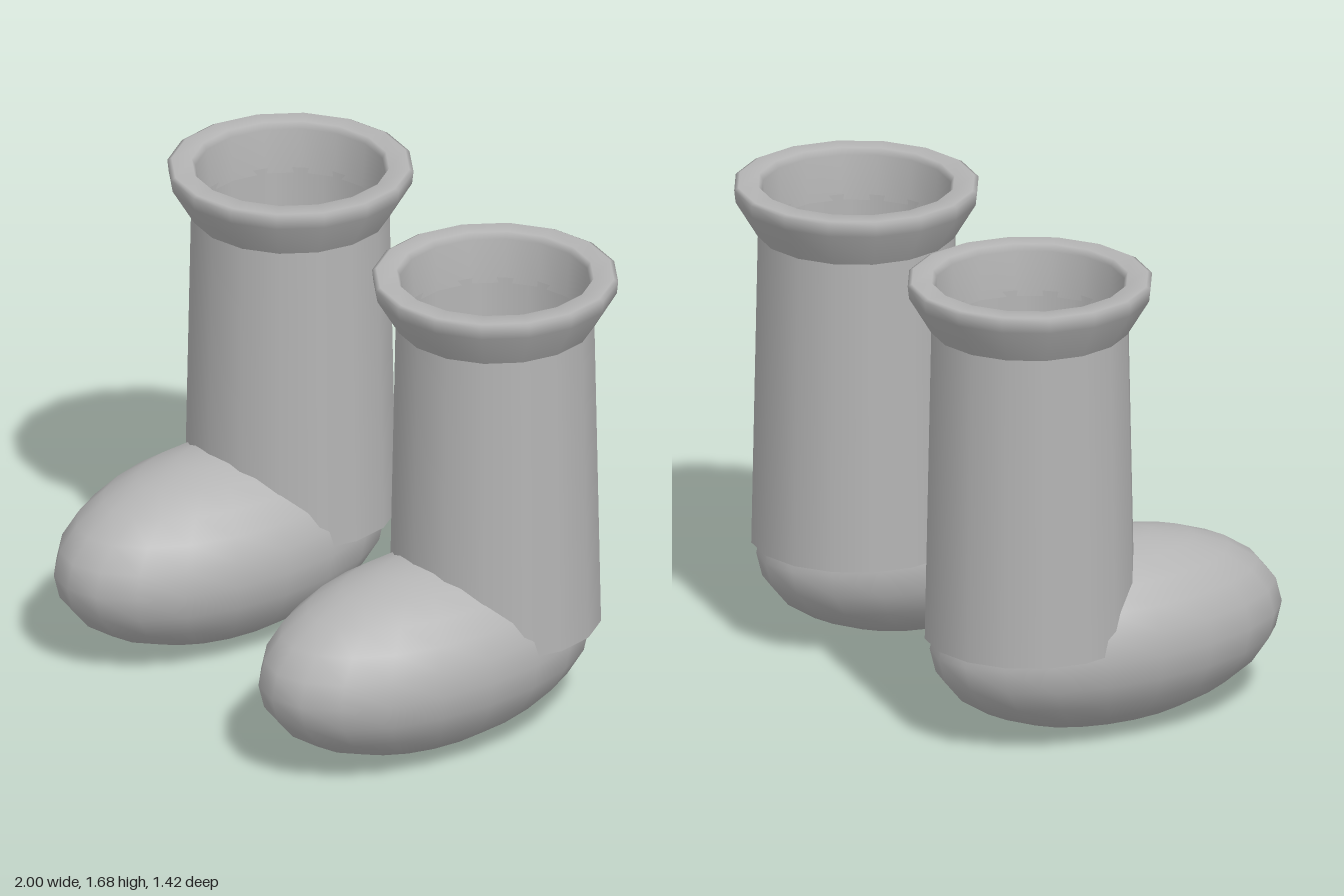
import * as THREE from 'three';

const v = (r, y) => new THREE.Vector2(r, y);

export function createModel() {
  const model = new THREE.Group();
  model.name = 'pairOfBoots';
  const grey = new THREE.MeshStandardMaterial({ color: 0xb4b4b4 });
  grey.name = 'grey';

  // Revolved part centred on the leg axis
  const lathe = (name, points, sides) => {
    const mesh = new THREE.Mesh(new THREE.LatheGeometry(points, sides), grey);
    mesh.name = name;
    mesh.position.z = -0.28;
    return mesh;
  };

  for (const side of [-1, 1]) {
    const boot = new THREE.Group();
    boot.name = side > 0 ? 'leftBoot' : 'rightBoot';
    boot.position.x = side * 0.57;

    // Egg-shaped foot
    const foot = new THREE.Mesh(new THREE.SphereGeometry(1, 20, 12), grey);
    foot.name = 'foot';
    foot.scale.set(0.38, 0.338, 0.68);
    foot.position.set(0, 0.34, 0.03);
    boot.add(foot);

    boot.add(
      // Tapered outer wall and its bottom edge
      lathe('shaft', [v(0.37, 0.37), v(0.347, 1.5)], 16),
      lathe('shaftBottom', [v(0.28, 0.37), v(0.37, 0.37)], 16),
      // Flared cuff with a rounded lip
      lathe('cuff', [v(0.347, 1.5), v(0.425, 1.63), v(0.43, 1.675), v(0.415, 1.683),
        v(0.345, 1.683), v(0.332, 1.66), v(0.318, 1.5)], 16),
      // Inner wall running down to the foot
      lathe('lining', [v(0.325, 1.52), v(0.288, 0.37)], 12),
    );
    model.add(boot);
  }
  return model;
}
